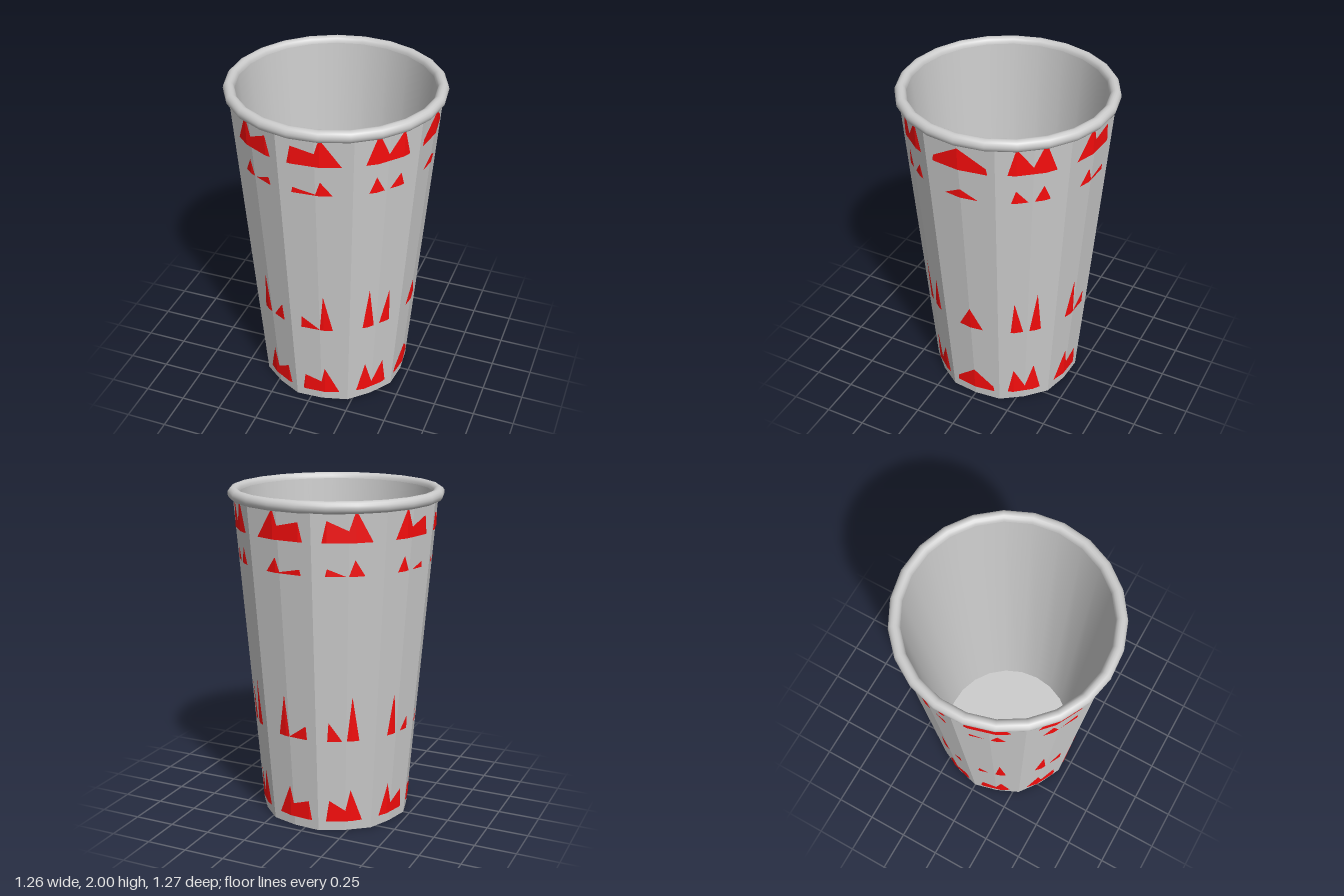
import * as THREE from 'three';

const SIDES = 23; // sides of the rim, lining and bands
const grey = new THREE.MeshStandardMaterial({ color: 0xcccccc });
const greyFlat = new THREE.MeshStandardMaterial({ color: 0xcccccc, flatShading: true });
const red = new THREE.MeshStandardMaterial({ color: 0xf80d0d, flatShading: true });

// Revolve [radius, y] pairs, with one vertex row on +x
function turned(name, profile, material) {
  const points = profile.map(([r, y]) => new THREE.Vector2(r, y));
  const mesh = new THREE.Mesh(new THREE.LatheGeometry(points, SIDES, Math.PI / 2), material);
  mesh.name = name;
  return mesh;
}

// Tapered outer wall: nine broad panels, each bent slightly along its middle
function outerWall() {
  const half = [0, 20.4, 40.5, 60.6, 81, 101.4, 121.5, 141.6, 160.8, 180];
  const angles = [...half, ...half.slice(0, -1).reverse().map((a) => 360 - a)];
  const profile = [[0, 0], [0.459, 0], [0.614, 1.94]];
  const geometry = new THREE.LatheGeometry(profile.map(([r, y]) => new THREE.Vector2(r, y)), 18);
  const position = geometry.attributes.position;
  angles.forEach((degrees, i) => {
    const a = THREE.MathUtils.degToRad(degrees);
    // corners of the panels keep the full radius, mid-panel bends sit further in
    const scale = i % 2 || degrees === 180 ? 1 : 0.973;
    profile.forEach(([r, y], j) => {
      position.setXYZ(i * profile.length + j, r * scale * Math.cos(a), y, -r * scale * Math.sin(a));
    });
  });
  geometry.computeVertexNormals();
  const mesh = new THREE.Mesh(geometry, greyFlat);
  mesh.name = 'outerWall';
  return mesh;
}

// Closed band set into the wall, breaking through it in peaks
function band(name, y0, y1, radius, slope) {
  const top = radius + slope * (y1 - y0);
  return turned(name, [[radius - 0.012, y0], [radius, y0], [top, y1], [top - 0.012, y1], [radius - 0.012, y0]], red);
}

export function createModel() {
  const cup = new THREE.Group();
  cup.name = 'cup';
  cup.add(outerWall());

  // Rolled rim
  const rim = [];
  for (let i = 0; i <= 12; i++) {
    const a = -Math.PI / 2 + (i / 12) * Math.PI * 1.5;
    rim.push([0.602 + 0.033 * Math.cos(a), 1.965 + 0.035 * Math.sin(a)]);
  }
  cup.add(turned('rim', rim, grey));

  // Inner wall and floor
  cup.add(turned('innerWall', [[0.569, 1.965], [0.42, 0.04]], grey));
  cup.add(turned('floor', [[0.42, 0.04], [0, 0.04]], grey));

  // Coloured bands: bottom, top, bottom radius, taper
  cup.add(band('baseBand', 0.06, 0.36, 0.457, 0.04));
  cup.add(band('lowerBand', 0.585, 0.9, 0.4948, 0.06));
  cup.add(band('upperBand', 1.58, 1.68, 0.573, 0.013));
  cup.add(band('topBand', 1.77, 1.94, 0.592, 0.02));
  return cup;
}
